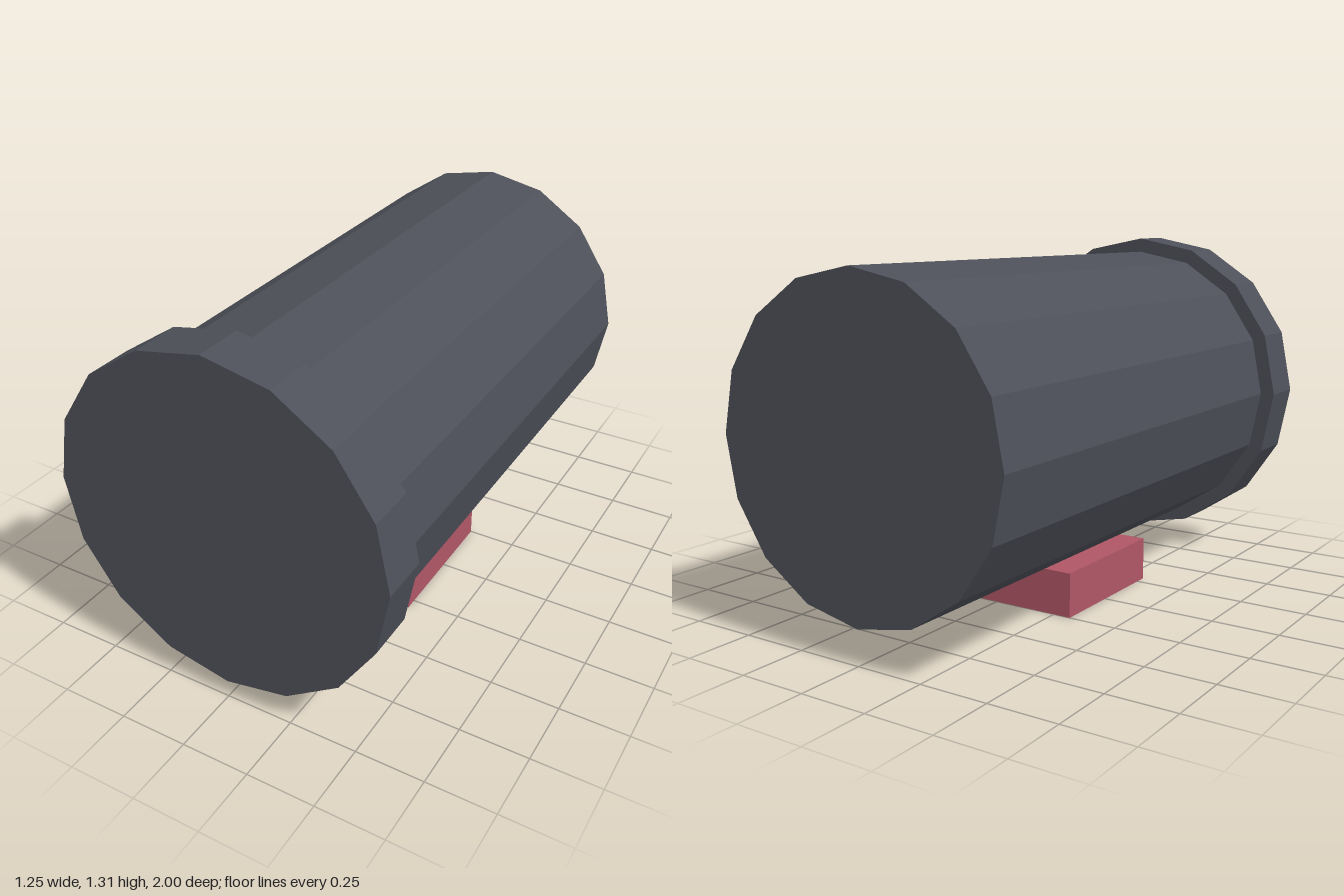
import * as THREE from 'three';

const AXIS_Y = 0.69;
const SIDES = 16;

const material = (color) => new THREE.MeshStandardMaterial({ color, flatShading: true });

// Faceted cylinder lying along z between two depths
function barrel(name, radius, zBack, zFront, mat) {
  const geometry = new THREE.CylinderGeometry(radius, radius, zFront - zBack, SIDES);
  geometry.rotateX(Math.PI / 2);
  const mesh = new THREE.Mesh(geometry, mat);
  mesh.name = name;
  mesh.position.set(0, AXIS_Y, (zBack + zFront) / 2);
  return mesh;
}

export function createModel() {
  const group = new THREE.Group();
  group.name = 'cylinderOnFoot';
  const dark = material(0x4d5059);
  const red = material(0xb05666);

  // Main body and the wider cap at the front
  group.add(barrel('body', 0.567, -1, 0.82, dark));
  group.add(barrel('frontCap', 0.623, 0.82, 1, dark));

  // Block foot beneath the body
  const foot = new THREE.Mesh(new THREE.BoxGeometry(0.634, 0.163, 0.545), red);
  foot.name = 'foot';
  foot.position.set(0, 0.0815, 0.0225);
  group.add(foot);

  return group;
}
